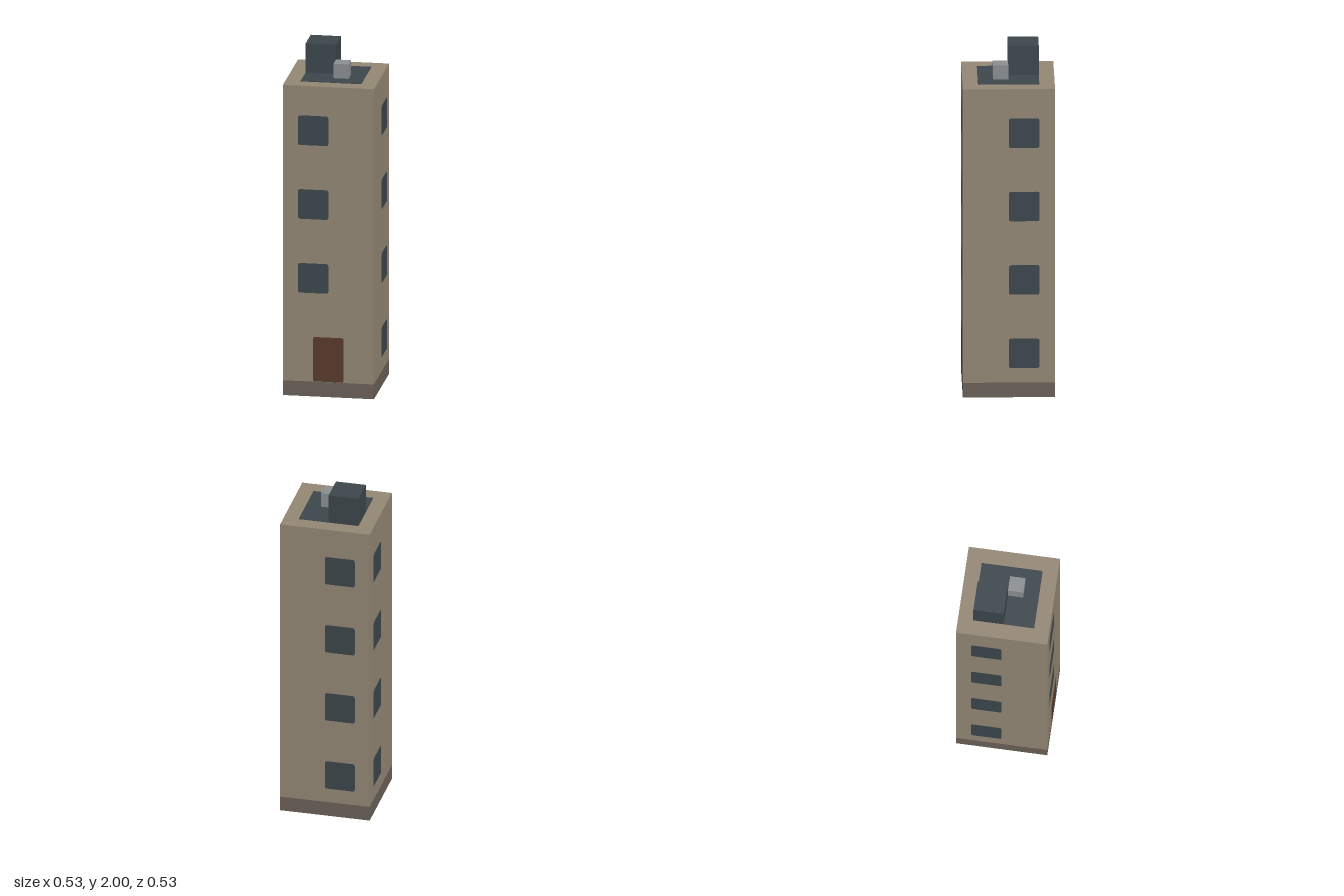
import * as THREE from 'three';

const U = 2 / 23; // building module: 6 x 6 footprint, 21 high plus roof block

const material = (name, color) => {
  const m = new THREE.MeshStandardMaterial({ color });
  m.name = name;
  return m;
};

// Thin panel with slightly rounded corners, lying in the xy plane
function panelGeometry(w, h, r, depth = 0.002) {
  const s = new THREE.Shape();
  const x = w / 2, y = h / 2;
  s.moveTo(-x + r, -y);
  s.lineTo(x - r, -y);
  s.quadraticCurveTo(x, -y, x, -y + r);
  s.lineTo(x, y - r);
  s.quadraticCurveTo(x, y, x - r, y);
  s.lineTo(-x + r, y);
  s.quadraticCurveTo(-x, y, -x, y - r);
  s.lineTo(-x, -y + r);
  s.quadraticCurveTo(-x, -y, -x + r, -y);
  return new THREE.ExtrudeGeometry(s, { depth, bevelEnabled: false, curveSegments: 3 });
}

export function createModel() {
  const wall = material('wall', 0x938774);
  const plinth = material('plinth', 0x6a6057);
  const slate = material('slate', 0x3b464b);
  const wood = material('door wood', 0x583a2c);
  const metal = material('metal', 0x8b8f92);

  const model = new THREE.Group();
  model.name = 'towerBlock';
  const add = (name, geometry, mat, x, y, z, parent = model) => {
    const mesh = new THREE.Mesh(geometry, mat);
    mesh.name = name;
    mesh.position.set(x, y, z);
    parent.add(mesh);
    return mesh;
  };
  // Box standing on height y
  const block = (name, mat, w, h, x, y, z) =>
    add(name, new THREE.BoxGeometry(w * U, h * U, w * U), mat, x * U, (y + h / 2) * U, z * U);

  // Tower and roof blocks
  block('base', plinth, 6, 1, 0, 0, 0);
  block('tower', wall, 6, 20, 0, 1, 0);
  block('roofHousing', slate, 2, 2, -1, 21, -1);
  block('roofVent', metal, 1, 1, 0.5, 21, 0.5);

  // Flat roof covering
  const roof = add('roofCovering', panelGeometry(4 * U, 4 * U, 0.003), slate, 0, 21 * U, 0);
  roof.rotation.x = -Math.PI / 2;

  // Windows: one column per wall; the front has a door on the ground floor
  const windowGeometry = panelGeometry(2 * U, 2 * U, 0.014);
  const walls = [
    { name: 'front', turn: 0, offset: -1 },
    { name: 'left', turn: Math.PI / 2, offset: 1 },
    { name: 'back', turn: Math.PI, offset: 1 },
    { name: 'right', turn: -Math.PI / 2, offset: -1 },
  ];
  for (const { name, turn, offset } of walls) {
    const side = new THREE.Group();
    side.name = name + 'Openings';
    side.rotation.y = turn;
    model.add(side);
    for (let floor = name === 'front' ? 1 : 0; floor < 4; floor++) {
      add(name + 'Window', windowGeometry, slate, offset * U, (3 + 5 * floor) * U, 3 * U, side);
    }
    if (name === 'front') {
      add('door', panelGeometry(2 * U, 3 * U, 0.012), wood, 0, 2.53 * U, 3 * U, side);
    }
  }
  return model;
}
